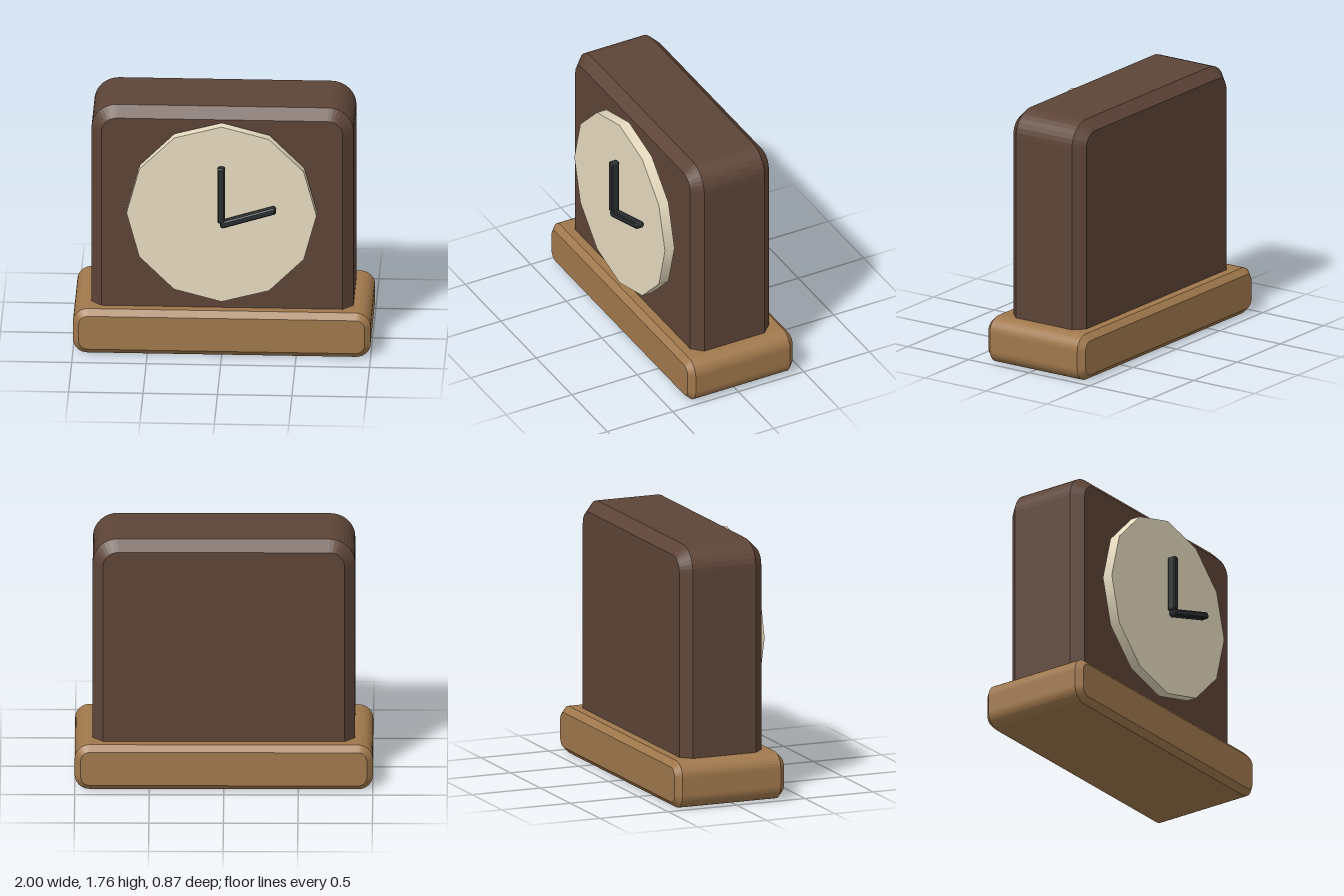
import * as THREE from 'three';

const material = (color) => new THREE.MeshStandardMaterial({ color });

// Rounded rectangle in xy, extruded along z with a single chamfer; all sizes are outer sizes.
function roundedSlab(name, width, height, depth, radius, bevel, mat) {
  const x = width / 2 - bevel, y = height / 2 - bevel, r = radius - bevel;
  const shape = new THREE.Shape();
  shape.absarc(x - r, y - r, r, 0, Math.PI / 2);
  shape.absarc(r - x, y - r, r, Math.PI / 2, Math.PI);
  shape.absarc(r - x, r - y, r, Math.PI, Math.PI * 1.5);
  shape.absarc(x - r, r - y, r, Math.PI * 1.5, Math.PI * 2);
  shape.closePath();
  const geometry = new THREE.ExtrudeGeometry(shape, {
    depth: depth - 2 * bevel,
    bevelEnabled: true,
    bevelThickness: bevel,
    bevelSize: bevel,
    bevelSegments: 1,
    curveSegments: 4,
  });
  geometry.translate(0, 0, bevel - depth / 2);
  const mesh = new THREE.Mesh(geometry, mat);
  mesh.name = name;
  return mesh;
}

export function createModel() {
  const clock = new THREE.Group();
  clock.name = 'mantelClock';
  const darkWood = material(0x5d4437);
  const lightWood = material(0xa0784c);
  const ivory = material(0xe8dcc0);
  const black = material(0x2a2e30);

  // Plinth
  const base = roundedSlab('base', 2, 0.32, 0.8, 0.1, 0.04, lightWood);
  base.position.set(0, 0.16, -0.036);

  // Case, sunk into the plinth
  const body = roundedSlab('case', 1.76, 1.64, 0.6, 0.17, 0.07, darkWood);
  body.position.set(0, 0.94, -0.036);

  // Twelve-sided dial, standing just in front of the case
  const dial = new THREE.Mesh(new THREE.CylinderGeometry(0.638, 0.638, 0.073, 12), ivory);
  dial.name = 'dial';
  dial.rotation.x = Math.PI / 2;
  dial.position.set(0, 1.042, 0.327);

  // Hands
  const minuteHand = roundedSlab('minuteHand', 0.05, 0.4, 0.06, 0.018, 0.008, black);
  minuteHand.position.set(0, 1.202, 0.406);

  const hourHand = roundedSlab('hourHand', 0.39, 0.045, 0.06, 0.018, 0.008, black);
  hourHand.position.set(0.18, 1.043, 0.406);
  hourHand.rotation.z = 0.3;

  clock.add(base, body, dial, minuteHand, hourHand);
  return clock;
}
